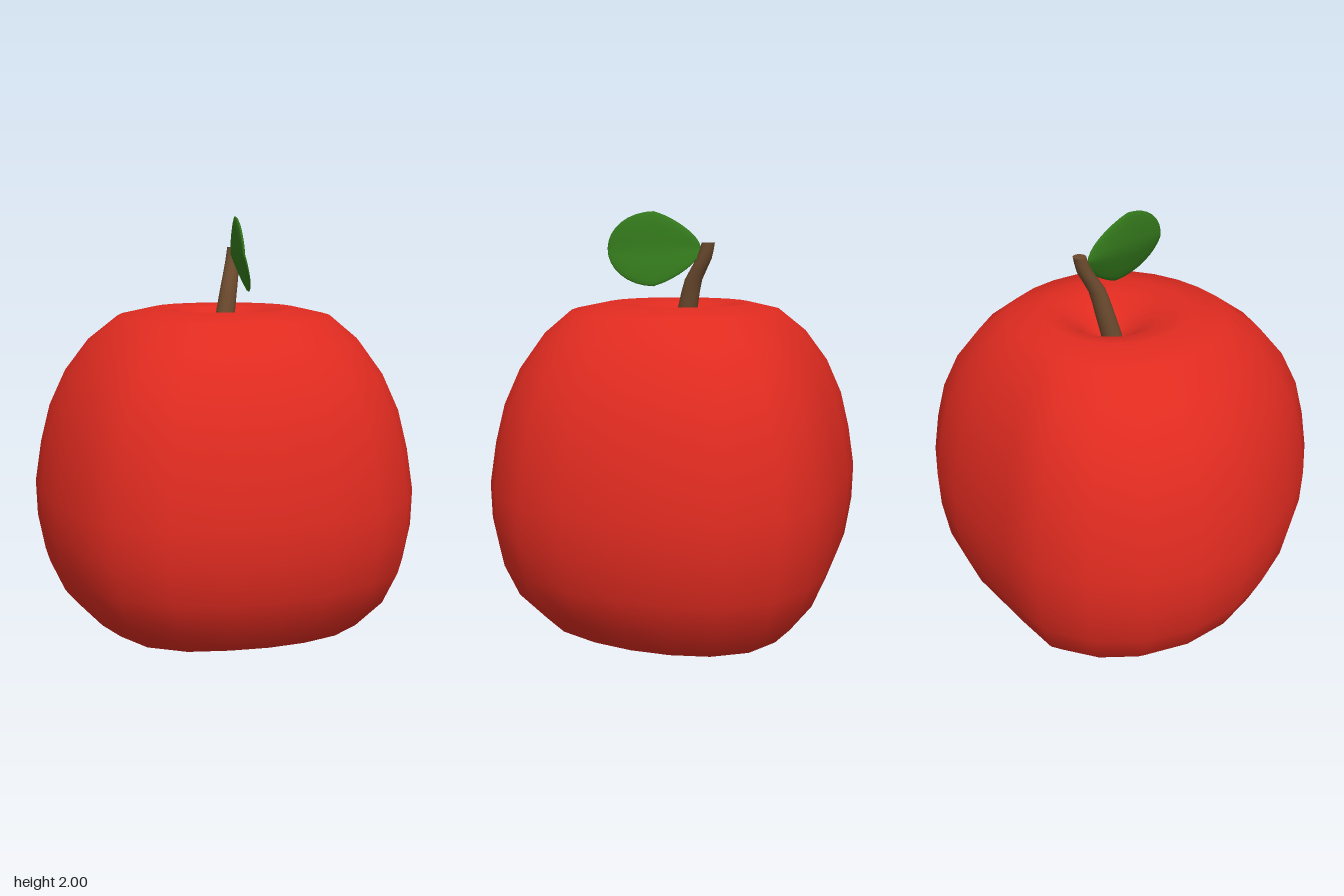
import * as THREE from 'three';
import { mergeVertices } from 'three/addons/utils/BufferGeometryUtils.js';

// Move every vertex by a rule, then weld seams and smooth the normals.
function deform(geometry, rule, weld = true) {
  const p = geometry.attributes.position;
  const v = new THREE.Vector3();
  for (let i = 0; i < p.count; i++) {
    rule(v.fromBufferAttribute(p, i));
    p.setXYZ(i, v.x, v.y, v.z);
  }
  if (weld) {
    geometry.deleteAttribute('uv');
    geometry.deleteAttribute('normal');
    geometry = mergeVertices(geometry, 1e-4);
  }
  geometry.computeVertexNormals();
  return geometry;
}

function part(name, geometry, color) {
  const mesh = new THREE.Mesh(geometry, new THREE.MeshStandardMaterial({ color }));
  mesh.name = name;
  return mesh;
}

// Outline radius every 15 degrees, from the front (+z) round through +x.
const OUTLINE = [
  0.90, 0.91, 0.935, 0.945, 0.92, 0.905, 0.91, 0.935, 0.945, 0.90, 0.85, 0.82,
  0.85, 0.94, 0.96, 0.965, 0.955, 0.935, 0.91, 0.91, 0.935, 0.985, 0.965, 0.915,
];

// Relative radius and height, from the base hollow up to the stem hollow.
const PROFILE = [
  [0, 0.2], [0.13, 0.19], [0.28, 0.13], [0.42, 0.055], [0.58, 0.003], [0.75, 0.035],
  [0.885, 0.175], [0.96, 0.345], [0.995, 0.54], [1, 0.72], [0.965, 0.92], [0.915, 1.1],
  [0.83, 1.27], [0.71, 1.42], [0.56, 1.533], [0.38, 1.57], [0.25, 1.555], [0.15, 1.5],
  [0.06, 1.44], [0, 1.43],
];

function fruitGeometry() {
  const lathe = new THREE.LatheGeometry(PROFILE.map(([r, y]) => new THREE.Vector2(r, y)), OUTLINE.length);
  return deform(lathe, (v) => {
    const r = Math.hypot(v.x, v.z);
    const angle = Math.atan2(v.x, v.z);
    const n = OUTLINE.length;
    const step = (Math.round((angle / (2 * Math.PI)) * n) + n) % n;
    // The lopsided outline fades to a circle near the axis.
    const radius = THREE.MathUtils.lerp(0.91, OUTLINE[step], THREE.MathUtils.smoothstep(r, 0.2, 0.9));
    v.x *= radius;
    v.z *= radius;
    // The base is uneven, lowest at the back.
    const low = 1 - THREE.MathUtils.smoothstep(v.y, 0.1, 0.7);
    v.y += 0.035 * low * (1 - Math.cos(angle - 2.7)) * Math.min(1, r * 2);
    // The stem hollow sits a little behind the centre.
    if (v.y > 1.4) v.z -= 0.06 * (1 - THREE.MathUtils.smoothstep(r, 0.1, 0.5));
  });
}

// Bent, tapering stem with level ends.
function stemGeometry() {
  const path = new THREE.CatmullRomCurve3([
    new THREE.Vector3(0, 1.42, -0.03),
    new THREE.Vector3(0.025, 1.56, -0.06),
    new THREE.Vector3(0.05, 1.68, -0.085),
    new THREE.Vector3(0.08, 1.78, -0.135),
    new THREE.Vector3(0.092, 1.855, -0.155),
  ]);
  const cylinder = new THREE.CylinderGeometry(0.031, 0.052, 1, 12, 8);
  return deform(cylinder, (v) => {
    const c = path.getPoint(v.y + 0.5);
    v.set(v.x + c.x, c.y, v.z + c.z);
  }, false);
}

// Lens-shaped teardrop leaf, pointed where it meets the stem.
function leafGeometry() {
  const sphere = new THREE.SphereGeometry(1, 24, 16).rotateX(Math.PI / 2);
  return deform(sphere, (v) => {
    const back = Math.max(0, -v.z);
    const y = v.y * 0.175 * (1 - 0.35 * back);
    const z = 0.105 + v.z * 0.225;
    const lean = 0.06 - 0.18 * z - 0.19 * y;
    const fold = 0.02 * (Math.abs(v.y) - 0.5);
    v.set(v.x * 0.02 + lean + fold, 1.825 + y, z);
  });
}

export function createModel() {
  const model = new THREE.Group();
  model.name = 'apple';
  model.add(
    part('fruit', fruitGeometry(), 0xe02b20),
    part('stem', stemGeometry(), 0x6b4a2e),
    part('leaf', leafGeometry(), 0x347a1c),
  );
  return model;
}
